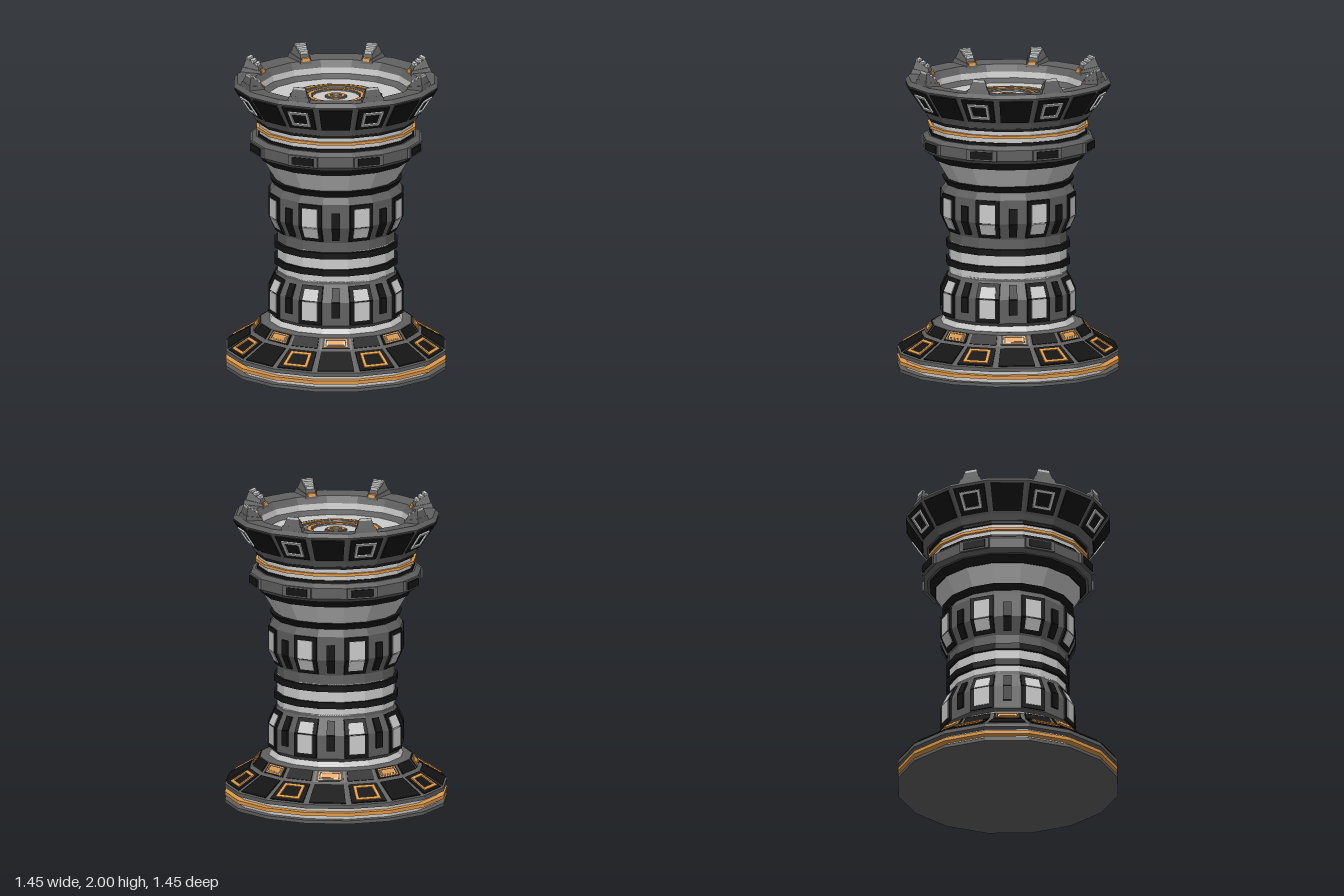
import * as THREE from 'three';

const SIDES = 16, STEP = Math.PI * 2 / SIDES;
const APOTHEM = Math.cos(STEP / 2), HALF = Math.sin(STEP / 2);

export function createModel() {
  const root = new THREE.Group();
  root.name = 'rookTower';
  const mat = (color) => new THREE.MeshStandardMaterial({ color, flatShading: true });
  const light = mat(0xcccccc), dark = mat(0x606060), black = mat(0x141414), orange = mat(0xe09a48);

  // Sixteen-sided ring from [radius, y] points, listed bottom to top on the outside
  function ring(name, material, points) {
    const geo = new THREE.LatheGeometry(points.map(p => new THREE.Vector2(...p)), SIDES);
    const mesh = new THREE.Mesh(geo, material);
    mesh.name = name;
    root.add(mesh);
  }
  // Closed straight band between two heights
  const band = (name, material, r, y0, y1, inner = r - 0.08) =>
    ring(name, material, [[inner, y0], [r, y0], [r, y1], [inner, y1]]);

  // Plate lying on facet k of the slope a-b; w is the share of its width, v0-v1 of its length
  function plate(name, material, k, a, b, w, v0, v1, depth, frame = 0) {
    const length = Math.hypot(b[0] - a[0], b[1] - a[1]);
    const outline = (inset, Path) => {
      const lo = v0 * length + inset, hi = v1 * length - inset;
      const half = (y) => THREE.MathUtils.lerp(a[0], b[0], y / length) * HALF * w - inset;
      return new Path([[-half(lo), lo], [half(lo), lo], [half(hi), hi], [-half(hi), hi]]
        .map(p => new THREE.Vector2(...p)));
    };
    const shape = outline(0, THREE.Shape);
    if (frame) shape.holes.push(outline(frame, THREE.Path));
    const geo = new THREE.ExtrudeGeometry(shape, { depth: depth + 0.005, bevelEnabled: false });
    geo.translate(0, 0, -0.005);
    const mesh = new THREE.Mesh(geo, material);
    mesh.position.set(0, a[1], a[0] * APOTHEM);
    mesh.rotation.x = Math.atan2(b[0] - a[0], b[1] - a[1]);
    const holder = new THREE.Group();
    holder.name = name;
    holder.rotation.y = (k - 0.5) * STEP;
    holder.add(mesh);
    root.add(holder);
  }

  // Wedge pointing inward: widths and heights given at its outer and inner ends
  function wedge(parent, name, material, o, i) {
    const geo = new THREE.BoxGeometry(1, 1, 1), p = geo.attributes.position;
    for (let n = 0; n < p.count; n++) {
      const e = p.getZ(n) > 0 ? o : i, top = p.getY(n) > 0;
      p.setXYZ(n, Math.sign(p.getX(n)) * (top ? e.wTop : e.w), top ? e.top : e.y, top ? e.rTop : e.r);
    }
    geo.computeVertexNormals();
    const mesh = new THREE.Mesh(geo, material);
    mesh.name = name;
    parent.add(mesh);
  }

  // Base plinth
  ring('baseFoot', dark, [[0, 0], [0.725, 0], [0.725, 0.022], [0.6, 0.022]]);
  band('basePlinth', light, 0.68, 0.02, 0.11);
  band('baseTrim', orange, 0.725, 0.05, 0.073);

  // Two sloping tiers of the base
  const tierA = [[0.725, 0.125], [0.56, 0.225]], tierB = [[0.545, 0.235], [0.495, 0.3]];
  ring('baseTiers', dark, [[0.6, 0.1], [0.725, 0.1], ...tierA, ...tierB, [0.46, 0.31], [0.4, 0.31]]);
  for (let k = 0; k < SIDES; k++) {
    plate('lowerTierPanel', black, k, ...tierA, 0.86, 0.07, 0.96, 0.008);
    plate('upperTierPanel', black, k, ...tierB, 0.86, 0.08, 0.95, 0.006);
    if (k % 2 === 0) {
      plate('lowerTierFrame', orange, k, ...tierA, 0.62, 0.16, 0.84, 0.016, 0.02);
    } else {
      plate('upperTierFrame', orange, k, ...tierB, 0.72, 0.14, 0.86, 0.011, 0.008);
      plate('upperTierInlay', light, k, ...tierB, 0.58, 0.27, 0.73, 0.009);
      plate('upperTierLamp', orange, k, ...tierB, 0.5, 0.33, 0.67, 0.013);
    }
  }

  // Column with two mirrored bulges
  ring('columnFoot', light, [[0.44, 0.305], [0.42, 0.345]]);
  const bulge = [[0.385, 0.91], [0.435, 1.02], [0.435, 1.175], [0.4, 1.225]];
  const mirrored = bulge.map(([r, y]) => [r, 1.54 - y]).reverse();
  ring('lowerBulge', dark, [[0.4, 0.335], ...mirrored.slice(1), [0.385, 0.65]]);
  ring('upperBulge', dark, [[0.385, 0.84], ...bulge]);
  band('waist', light, 0.385, 0.64, 0.85);
  band('waistRingLower', black, 0.405, 0.69, 0.732);
  band('waistRingUpper', black, 0.405, 0.802, 0.844);

  for (let k = 0; k < SIDES; k++) {
    for (const flip of [false, true]) {
      const layer = (name, m, w, upper, lower, d) => {
        const v = (p) => flip ? [1 - p[1], 1 - p[0]] : p;
        const upSeg = flip ? [mirrored[1], mirrored[2]] : [bulge[1], bulge[2]];
        const loSeg = flip ? [mirrored[2], mirrored[3]] : [bulge[0], bulge[1]];
        plate(name, m, k, ...upSeg, w, ...v(upper), d);
        plate(name, m, k, ...loSeg, w, ...v(lower), d);
      };
      if (k % 2 === 0) {
        layer('windowSurround', black, 0.94, [0, 0.97], [0.12, 1], 0.012);
        layer('windowPane', light, 0.62, [0, 0.8], [0.36, 1], 0.016);
      } else {
        layer('columnSlot', black, 0.32, [0, 0.65], [0.2, 1], 0.012);
      }
    }
  }

  // Neck: collar, flared cup and belt
  ring('neckCollar', black, [[0.38, 1.215], [0.405, 1.22], [0.432, 1.26], [0.38, 1.26]]);
  ring('neckCup', light, [[0.395, 1.25], [0.485, 1.4]]);
  ring('beltUnderRing', black, [[0.42, 1.383], [0.48, 1.383], [0.515, 1.432], [0.45, 1.435]]);
  const belt = [[0.555, 1.455], [0.555, 1.525]];
  ring('belt', dark, [[0.45, 1.43], [0.53, 1.43], ...belt, [0.525, 1.55], [0.45, 1.55]]);
  for (let k = 0; k < SIDES; k += 2) {
    plate('beltBlock', dark, k, ...belt, 0.94, 0, 1, 0.016);
    plate('beltPanel', black, k, ...belt, 0.7, 0.14, 0.86, 0.022);
  }
  band('beltTopRing', black, 0.515, 1.548, 1.568);
  band('crownNeck', light, 0.505, 1.565, 1.645);
  band('crownTrim', orange, 0.525, 1.597, 1.616);
  band('crownUnderRing', black, 0.52, 1.643, 1.664);

  // Flared crown with a sunken floor
  const flare = [[0.55, 1.7], [0.672, 1.885]];
  ring('crown', dark, [[0.44, 1.662], [0.53, 1.662], ...flare, [0.65, 1.91], [0.53, 1.9], [0.495, 1.855]]);
  ring('crownInnerBand', light, [[0.495, 1.857], [0.488, 1.815]]);
  ring('floorEdge', dark, [[0.488, 1.817], [0.45, 1.79]]);
  ring('floor', light, [[0.46, 1.79], [0, 1.79]]);
  for (let k = 0; k < SIDES; k++) {
    plate('crownPanel', black, k, ...flare, 0.84, 0.08, 0.92, 0.008);
    if (k % 2 === 0) plate('crownWindowFrame', light, k, ...flare, 0.56, 0.22, 0.78, 0.018, 0.018);
  }

  // Raised concentric rings on the floor: outer and inner radius of dark, then orange
  for (const [ro, ri, oo, oi] of [[0.305, 0.235, 0.28, 0.25], [0.21, 0.15, 0.19, 0.163], [0.075, 0.03, 0.06, 0.04]]) {
    ring('floorRing', dark, [[ro, 1.788], [ro - 0.005, 1.798], [ri + 0.005, 1.798], [ri, 1.788]]);
    ring('floorRingInlay', orange, [[oo, 1.797], [oo, 1.802], [oi, 1.802], [oi, 1.797]]);
  }

  // Merlons on every second facet, each with light steps falling inward
  for (let k = 0; k < SIDES; k += 2) {
    const merlon = new THREE.Group();
    merlon.name = 'merlon';
    merlon.rotation.y = (k - 0.5) * STEP;
    wedge(merlon, 'merlonBase', dark,
      { w: 0.088, wTop: 0.068, y: 1.88, top: 1.94, r: 0.643, rTop: 0.63 },
      { w: 0.042, wTop: 0.036, y: 1.87, top: 1.915, r: 0.505, rTop: 0.515 });
    wedge(merlon, 'merlonTop', dark,
      { w: 0.064, wTop: 0.042, y: 1.93, top: 1.995, r: 0.63, rTop: 0.612 },
      { w: 0.036, wTop: 0.03, y: 1.9, top: 1.94, r: 0.52, rTop: 0.535 });
    for (let s = 0; s < 3; s++) {
      const r = 0.615 - s * 0.028, w = 0.04 - s * 0.005, top = 2 - s * 0.017;
      wedge(merlon, 'merlonStep', light,
        { w, wTop: w, y: 1.92, top, r, rTop: r },
        { w: w - 0.004, wTop: w - 0.004, y: 1.92, top: top - 0.004, r: r - 0.02, rTop: r - 0.02 });
    }
    wedge(merlon, 'merlonAccent', orange,
      { w: 0.024, wTop: 0.024, y: 1.9, top: 1.925, r: 0.52, rTop: 0.52 },
      { w: 0.024, wTop: 0.024, y: 1.9, top: 1.92, r: 0.508, rTop: 0.512 });
    root.add(merlon);
  }
  return root;
}
